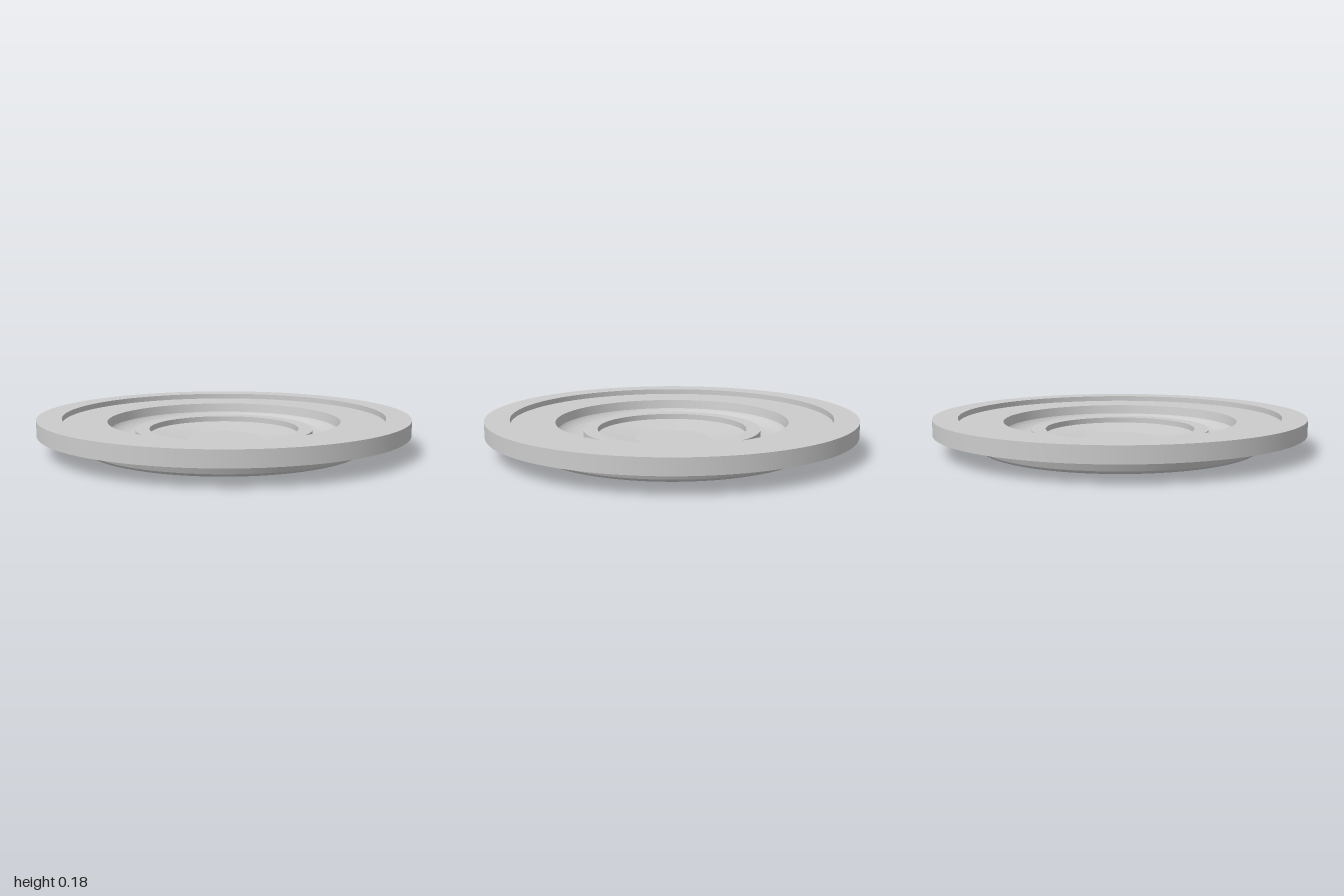
import * as THREE from 'three';

const material = new THREE.MeshStandardMaterial({ color: 0xcccccc });

// Each strip is one smooth [radius, height] run; edges between strips stay sharp.
function turned(name, strips) {
  const group = new THREE.Group();
  group.name = name;
  strips.forEach((strip, i) => {
    const points = strip.map(([r, y]) => new THREE.Vector2(r, y));
    const mesh = new THREE.Mesh(new THREE.LatheGeometry(points, 128), material);
    mesh.name = `${name}Surface${i + 1}`;
    group.add(mesh);
  });
  return group;
}

export function createModel() {
  const model = new THREE.Group();
  model.name = 'steppedDish';

  // Profiles run from the underside centre outward, up, and back in over the top.
  model.add(
    // flat foot with rounded lower edge and flared side
    turned('foot', [
      [[0, 0], [0.735, 0]],
      [[0.735, 0], [0.748, 0.004], [0.757, 0.016]],
      [[0.757, 0.016], [0.793, 0.097]],
    ]),
    // wide flange with a raised lip
    turned('rim', [
      [[0.793, 0.097], [1, 0.097]],
      [[1, 0.097], [1, 0.18]],
      [[1, 0.18], [0.868, 0.18]],
      [[0.868, 0.18], [0.868, 0.15]],
    ]),
    // flat ledge inside the lip
    turned('ledge', [[[0.868, 0.15], [0.63, 0.15]]]),
    // recessed channel with a coved outer wall
    turned('channel', [
      [[0.63, 0.15], [0.622, 0.1]],
      [[0.622, 0.1], [0.61, 0.084], [0.58, 0.069], [0.54, 0.061], [0.482, 0.06]],
    ]),
    // raised ring around the well
    turned('innerRing', [
      [[0.482, 0.06], [0.482, 0.104]],
      [[0.482, 0.104], [0.405, 0.104]],
      [[0.405, 0.104], [0.405, 0.074]],
    ]),
    // shallow conical well with a flat centre
    turned('well', [
      [[0.405, 0.074], [0.2, 0.05]],
      [[0.2, 0.05], [0, 0.05]],
    ]),
  );
  return model;
}
